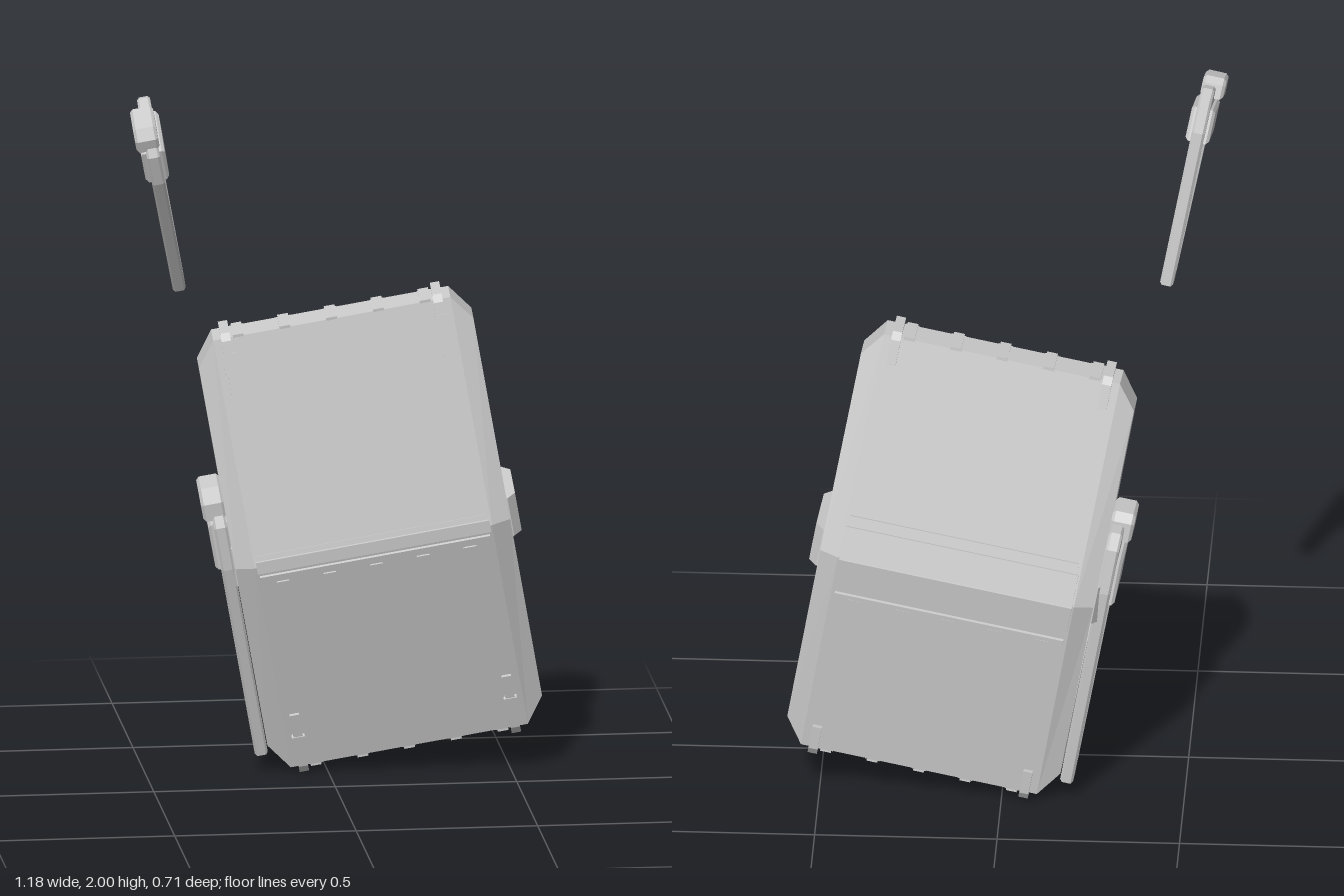
import * as THREE from 'three';

const mat = new THREE.MeshStandardMaterial({ color: 0xcccccc, flatShading: true, side: THREE.DoubleSide });

function add(parent, name, geo, x = 0, y = 0, z = 0) {
  const m = new THREE.Mesh(geo, mat);
  m.name = name;
  m.position.set(x, y, z);
  parent.add(m);
  return m;
}
const box = (w, h, d) => new THREE.BoxGeometry(w, h, d);

function prism(points, depth, holes = [], bevel = 0) {
  const shape = new THREE.Shape(points.map(p => new THREE.Vector2(...p)));
  for (const h of holes) shape.holes.push(new THREE.Path(h.map(p => new THREE.Vector2(...p))));
  const g = new THREE.ExtrudeGeometry(shape, {
    depth: depth - 2 * bevel, bevelEnabled: bevel > 0, bevelSize: bevel, bevelOffset: -bevel,
    bevelThickness: bevel, bevelSegments: 1,
  });
  return g.translate(0, 0, bevel - depth / 2);
}

// Place a group on two nearly perpendicular axes (its x and y)
function orient(group, ax, ay, pos) {
  const y = new THREE.Vector3(...ay).normalize();
  const z = new THREE.Vector3(...ax).cross(y).normalize();
  const x = y.clone().cross(z);
  group.quaternion.setFromRotationMatrix(new THREE.Matrix4().makeBasis(x, y, z));
  group.position.set(...pos);
}

// Six-sided ring across the body: middle half thickness, end half thickness, half height
function ring(x, mid, end, h) {
  return [[mid, 0], [end, h], [-end, h], [-mid, 0], [-end, -h], [end, -h]].map(([z, y]) => [x, y, z]);
}

function loft(rings) {
  const v = [], n = rings[0].length, last = rings[rings.length - 1];
  const tri = (a, b, c) => v.push(...a, ...b, ...c);
  for (let i = 0; i < rings.length - 1; i++) {
    for (let j = 0; j < n; j++) {
      const k = (j + 1) % n, a = rings[i], b = rings[i + 1];
      tri(a[j], b[j], b[k]);
      tri(a[j], b[k], a[k]);
    }
  }
  for (let j = 1; j < n - 1; j++) {
    tri(rings[0][0], rings[0][j], rings[0][j + 1]);
    tri(last[0], last[j + 1], last[j]);
  }
  const g = new THREE.BufferGeometry();
  g.setAttribute('position', new THREE.Float32BufferAttribute(v, 3));
  g.computeVertexNormals();
  return g;
}

// Triangular open frame with a plate and a grip block; tip at the origin, head up
function makeFin(name, s) {
  const fin = new THREE.Group();
  fin.name = name;
  const k = pts => pts.map(([x, y]) => [x, y * s]);
  const outline = k([[-0.03, 0], [0.03, 0], [0.132, 0.42], [0.135, 0.51], [0.1, 0.565],
    [-0.08, 0.57], [-0.125, 0.545], [-0.128, 0.45]]);
  const hole = k([[0.016, 0.045], [-0.014, 0.045], [-0.1, 0.43], [0.106, 0.43]]);
  add(fin, 'finFrame', prism(outline, 0.036, [hole], 0.006));
  const plate = k([[-0.1, 0.42], [0.112, 0.42], [0.115, 0.515], [-0.09, 0.515]]);
  add(fin, 'finPlate', prism(plate, 0.066, [], 0.008));
  const grip = k([[-0.02, 0.535], [0.12, 0.525], [0.122, 0.56], [0.1, 0.59], [0, 0.592], [-0.02, 0.575]]);
  add(fin, 'finGrip', prism(grip, 0.064, [], 0.008), 0, 0, 0.01);
  return fin;
}

export function createModel() {
  const root = new THREE.Group();
  const body = new THREE.Group();
  body.name = 'body';
  orient(body, [0.983, 0.18, 0.065], [-0.178, 0.98, 0.07], [0.1125, 0.69, -0.16]);
  root.add(body);

  // Diamond-section shell with bevelled rims and recessed ends
  const MID = 0.174, END = 0.048, H = 0.628;
  const rim = s => [ring(s * 0.335, 0.124, 0.03, 0.52), ring(s * 0.38, 0.128, 0.032, 0.525),
    ring(s * 0.382, 0.15, 0.045, 0.555), ring(s * 0.33, MID, END, H)];
  add(body, 'shell', loft([...rim(-1), ...rim(1).reverse()]));

  // Ribbed panels on the four sloping faces
  const slope = Math.atan2(MID - END, H), len = Math.hypot(MID - END, H);
  const turns = [[0, 0, 0], [0, 0, Math.PI], [0, Math.PI, 0], [Math.PI, 0, 0]];
  turns.forEach((t, i) => {
    const back = i > 1, start = back ? 0.125 : 0.05;
    const side = new THREE.Group();
    side.name = back ? 'backPanel' : 'frontPanel';
    side.rotation.set(...t);
    body.add(side);
    const face = new THREE.Group();
    face.position.z = MID;
    face.rotation.x = -slope;
    side.add(face);
    for (let r = -2; r <= 2; r++) {
      const rib = prism([[-0.02, -0.004], [0.02, -0.004], [0.011, 0.006], [-0.011, 0.006]], len - start - 0.005);
      rib.rotateX(Math.PI / 2).scale(1, 1, -1);
      const pos = rib.attributes.position;
      // swap one corner per triangle so the flipped rib still faces outward
      for (let n = 0; n < pos.count; n += 3) {
        const a = [pos.getX(n), pos.getY(n), pos.getZ(n)];
        pos.setXYZ(n, pos.getX(n + 1), pos.getY(n + 1), pos.getZ(n + 1));
        pos.setXYZ(n + 1, ...a);
      }
      rib.rotateY(0).computeVertexNormals();
      const zMid = (rib.computeBoundingBox(), rib.boundingBox.max.z);
      add(face, 'rib', rib, r * 0.13, (start + len) / 2, 0.006 - zMid);
    }
    // raised spine halves and a lip on the back
    if (back) {
      add(face, 'spineBand', box(0.65, 0.092, 0.016), 0, 0.046, 0.002);
      add(face, 'panelLip', box(0.64, 0.012, 0.016), 0, 0.118, 0.002);
    } else {
      add(face, 'panelLip', box(0.64, 0.007, 0.016), 0, 0.03, 0.002);
    }
  });
  add(body, 'frontBar', box(0.65, 0.034, 0.03), 0, 0, 0.165);

  for (const s of [-1, 1]) {
    // ribs carried over the narrow top and bottom
    for (let r = -2; r <= 2; r++) add(body, 'edgeRib', box(0.03, 0.016, 0.102), r * 0.13, s * 0.626, 0);

    // clips wrapped over the corners
    for (const x of [-0.295, 0.295]) {
      const clip = [[0.098, 0.465], [0.066, 0.625], [0.052, 0.645], [-0.052, 0.645], [-0.068, 0.625],
        [-0.08, 0.555], [-0.04, 0.555], [0.06, 0.465]].map(([z, y]) => [z, s * y]);
      add(body, 'clip', prism(clip, 0.026).rotateY(-Math.PI / 2), x, 0, 0);
      const foot = add(body, 'clipFoot', box(0.036, 0.06, 0.024), x, s * 0.56, 0.07);
      foot.rotation.x = -s * slope;
    }

    // crossbar over each recessed end
    const bar = [[0.325, -0.14], [0.385, -0.135], [0.408, -0.1], [0.408, 0.1], [0.385, 0.135], [0.325, 0.14]];
    add(body, 'crossbar', prism(bar.map(([x, z]) => [s * x, z]), 0.11).rotateX(Math.PI / 2));
  }

  // Fin mounted on the right end
  const mounted = makeFin('mountedFin', 1.38);
  orient(mounted, [0, 0, 1], [0, 1, 0], [-0.402, -0.585, 0]);
  body.add(mounted);

  // Loose fin floating above
  const loose = makeFin('looseFin', 1);
  orient(loose, [-0.02, -0.316, 0.949], [-0.195, 0.93, 0.307], [-0.437, 1.44, 0.052]);
  root.add(loose);

  return root;
}
